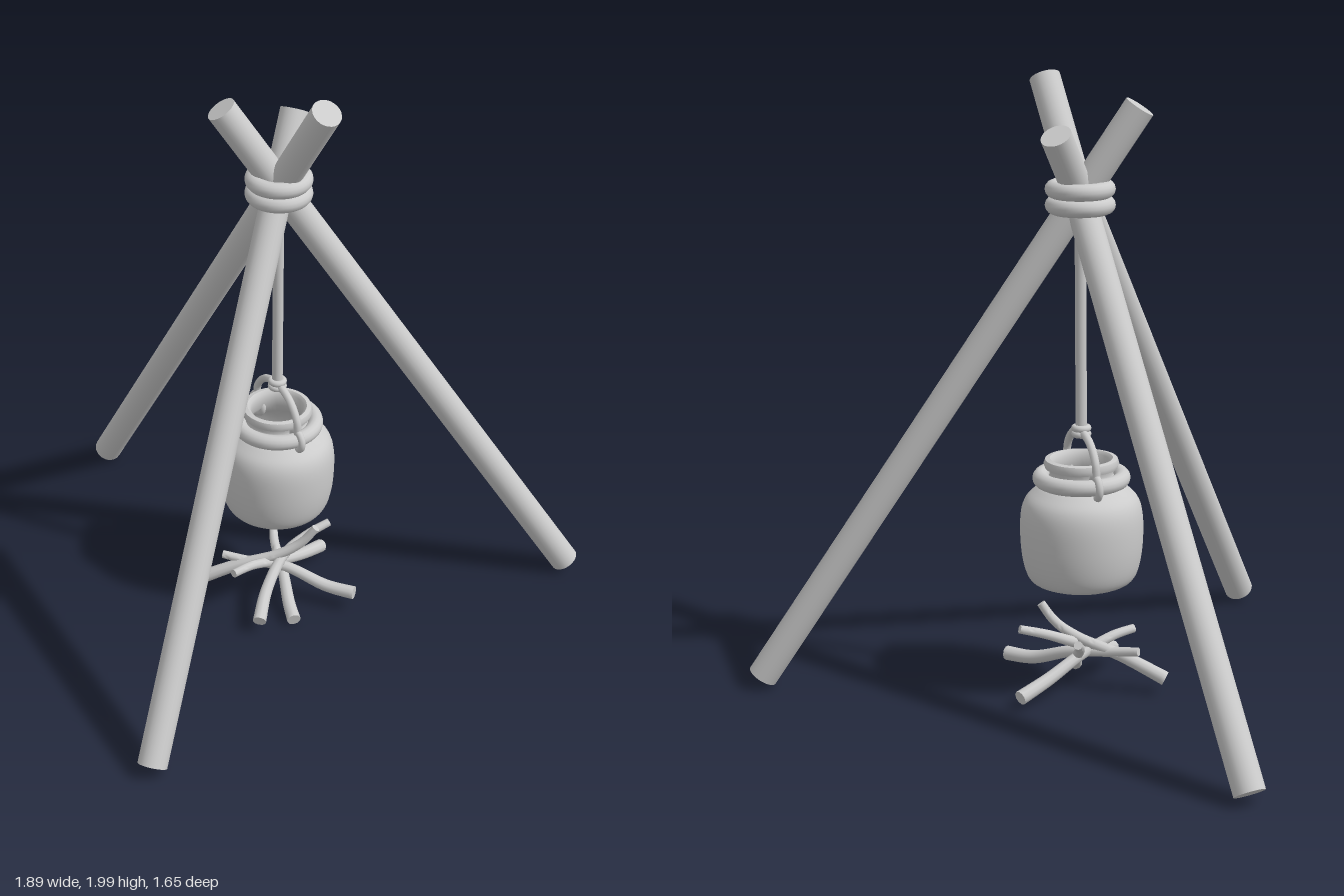
import * as THREE from 'three';
import { toCreasedNormals } from 'three/addons/utils/BufferGeometryUtils.js';

const CZ = -0.26; // axis of the pot and fire
const V = (x, y, z) => new THREE.Vector3(x, y, z);

export function createModel() {
  const group = new THREE.Group();
  const material = new THREE.MeshStandardMaterial({ color: 0xcccccc });
  const twoSided = new THREE.MeshStandardMaterial({ color: 0xcccccc, side: THREE.DoubleSide });

  const add = (name, geometry, parent = group, mat = material) => {
    const mesh = new THREE.Mesh(geometry, mat);
    mesh.name = name;
    parent.add(mesh);
    return mesh;
  };
  const rod = (name, a, b, r) => {
    const mesh = add(name, new THREE.CylinderGeometry(r, r, a.distanceTo(b), 24));
    mesh.position.copy(a).lerp(b, 0.5);
    mesh.quaternion.setFromUnitVectors(V(0, 1, 0), b.clone().sub(a).normalize());
    return mesh;
  };
  const ring = (name, y, r, tube, parent = group) => {
    const mesh = add(name, new THREE.TorusGeometry(r, tube, 14, 48), parent);
    mesh.rotation.x = Math.PI / 2;
    mesh.position.set(0, y, CZ);
    return mesh;
  };

  // Three crossing poles
  rod('frontPole', V(0, 0.045, 0.785), V(0, 1.83, -0.395), 0.049);
  rod('leftPole', V(0.9, 0.045, -0.778), V(-0.16, 1.905, -0.17), 0.049);
  rod('rightPole', V(-0.9, 0.045, -0.778), V(0.2, 1.97, -0.15), 0.049);

  // Lashing round the crossing
  ring('upperLashing', 1.65, 0.083, 0.027);
  ring('lowerLashing', 1.6, 0.083, 0.027);

  // Hanging rope with its knot
  rod('rope', V(0, 0.87, CZ), V(0, 1.64, CZ), 0.018);
  ring('upperKnot', 0.887, 0.021, 0.011);
  ring('lowerKnot', 0.868, 0.021, 0.011);

  // Hollow pot: outer wall up, over the lip, inner wall down
  const outer = new THREE.SplineCurve([
    [0.135, 0.377], [0.165, 0.393], [0.184, 0.435], [0.195, 0.51], [0.195, 0.6],
    [0.18, 0.655], [0.145, 0.69], [0.112, 0.715], [0.1, 0.74],
  ].map((p) => new THREE.Vector2(...p))).getPoints(36);
  const inner = [
    [0.104, 0.756], [0.115, 0.759], [0.12, 0.773], [0.115, 0.787], [0.1, 0.79], [0.09, 0.78],
    [0.088, 0.73], [0.13, 0.68], [0.17, 0.63], [0.178, 0.55], [0.168, 0.44], [0.13, 0.4], [0, 0.4],
  ].map((p) => new THREE.Vector2(...p));
  const profile = [new THREE.Vector2(0, 0.375), ...outer, ...inner];
  const pot = new THREE.Group();
  pot.name = 'pot';
  group.add(pot);
  const body = toCreasedNormals(new THREE.LatheGeometry(profile, 48), 0.8);
  add('potBody', body, pot, twoSided).position.z = CZ;
  ring('neckRing', 0.725, 0.13, 0.026, pot);

  // Handle, hooked round the neck ring at both ends
  const handle = new THREE.Group();
  handle.name = 'handle';
  handle.position.z = CZ;
  handle.rotation.y = -0.65;
  pot.add(handle);
  const arch = new THREE.CatmullRomCurve3([
    [-0.135, 0.75], [-0.128, 0.8], [-0.08, 0.853], [0, 0.875],
    [0.08, 0.853], [0.128, 0.8], [0.135, 0.75],
  ].map(([x, y]) => V(x, y, 0)));
  add('handleArch', new THREE.TubeGeometry(arch, 40, 0.013, 10), handle);
  for (const s of [-1, 1]) {
    add('handleHook', new THREE.TorusGeometry(0.034, 0.012, 10, 24), handle).position.set(s * 0.13, 0.725, 0);
  }

  // Bent, tapering sticks with flat ends
  const stick = (points) => {
    const segments = 40, sides = 10;
    const curve = new THREE.CatmullRomCurve3(points.map((p) => V(...p)));
    const geometry = new THREE.TubeGeometry(curve, segments, 1, sides);
    const pos = geometry.attributes.position;
    const v = V(0, 0, 0);
    for (let i = 0; i <= segments; i++) {
      const closed = i === 0 || i === segments;
      const center = curve.getPointAt(THREE.MathUtils.clamp(i, 1, segments - 1) / segments);
      const radius = closed ? 0 : 0.024 - 0.01 * (i / segments);
      for (let j = 0; j <= sides; j++) {
        const k = i * (sides + 1) + j;
        v.fromBufferAttribute(pos, k).sub(curve.getPointAt(i / segments));
        v.multiplyScalar(radius).add(center);
        pos.setXYZ(k, v.x, v.y, v.z);
      }
    }
    return toCreasedNormals(geometry, 0.8);
  };
  const fire = new THREE.Group();
  fire.name = 'firewood';
  group.add(fire);
  [
    [[-0.26, 0.055, -0.15], [-0.12, 0.125, -0.2], [0.02, 0.18, -0.25], [0.09, 0.23, -0.28], [0.14, 0.3, -0.3]],
    [[0.305, 0.078, -0.264], [0.19, 0.083, -0.26], [0.04, 0.13, -0.25], [-0.08, 0.14, -0.22], [-0.19, 0.155, -0.2]],
    [[0.045, 0.06, 0.005], [0.02, 0.11, -0.13], [0.03, 0.17, -0.27], [0.08, 0.21, -0.35], [0.145, 0.24, -0.425]],
    [[0.075, 0.045, -0.525], [0.04, 0.08, -0.4], [0, 0.13, -0.27], [-0.05, 0.17, -0.16], [-0.09, 0.18, -0.07]],
    [[0.14, 0.03, -0.09], [0.09, 0.05, -0.16], [0.03, 0.11, -0.25], [-0.03, 0.17, -0.32], [-0.06, 0.21, -0.38]],
  ].forEach((points) => add('stick', stick(points), fire));

  return group;
}
